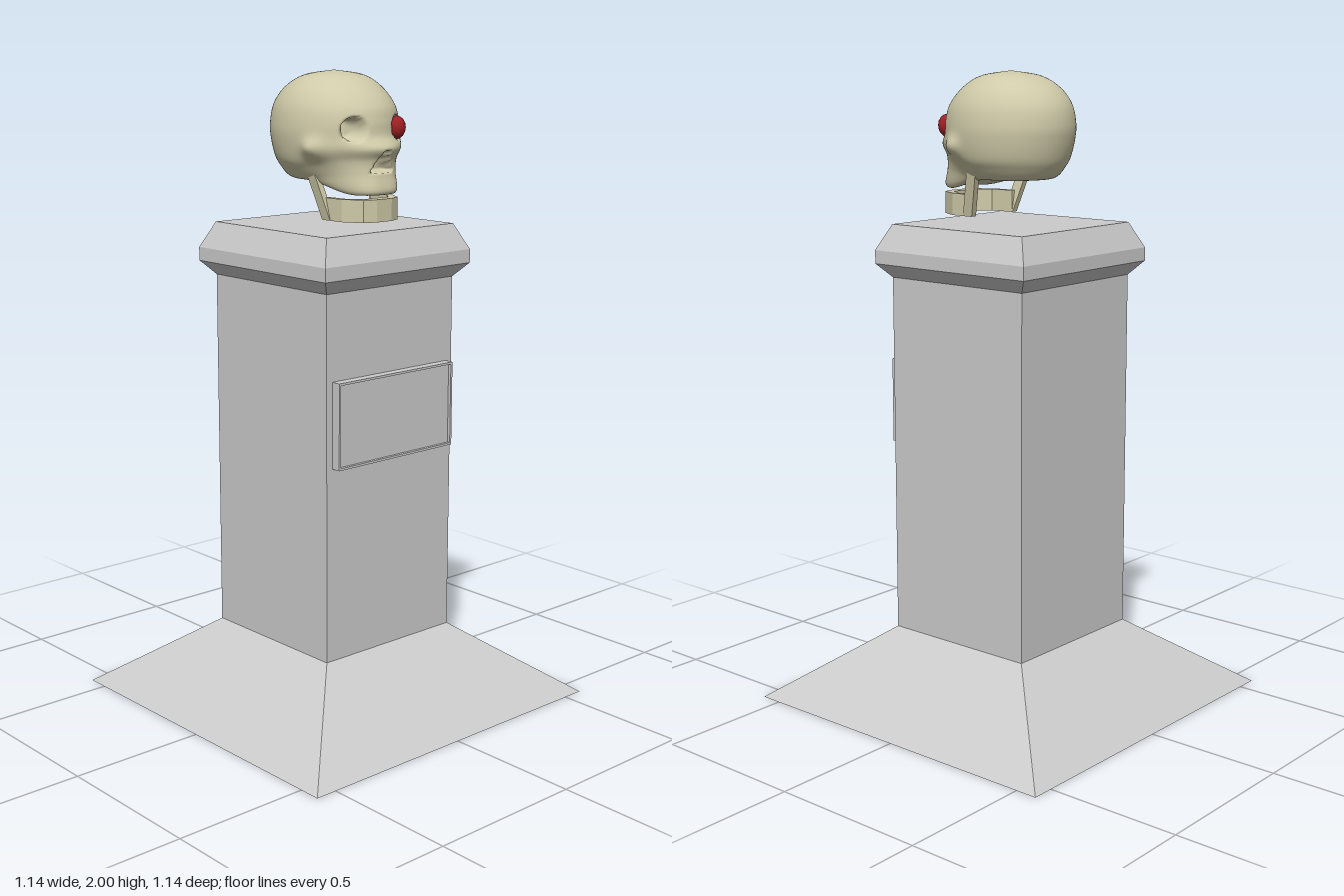
import * as THREE from 'three';

const stone = new THREE.MeshStandardMaterial({ color: 0xcccccc, flatShading: true });
const bone = new THREE.MeshStandardMaterial({ color: 0xcfcaa8 });
const boneFlat = new THREE.MeshStandardMaterial({ color: 0xcfcaa8, flatShading: true });
const red = new THREE.MeshStandardMaterial({ color: 0xa02024 });

function add(parent, name, geometry, material, x = 0, y = 0, z = 0) {
  const mesh = new THREE.Mesh(geometry, material);
  mesh.name = name;
  mesh.position.set(x, y, z);
  parent.add(mesh);
  return mesh;
}

// Square column turned from [half width, height] pairs
function squareLoft(profile) {
  const points = profile.map(([h, y]) => new THREE.Vector2(h * Math.SQRT2, y));
  return new THREE.LatheGeometry(points, 4).rotateY(Math.PI / 4);
}

// Skull rings from crown to palate: [yBack, yFront, width, zBack, zFront, roundness]
const RINGS = [
  [2.0, 2.0, 0, 0, 0, 1],
  [1.985, 1.985, 0.09, -0.09, 0.09, 1],
  [1.95, 1.95, 0.142, -0.155, 0.15, 1],
  [1.9, 1.9, 0.174, -0.195, 0.195, 1],
  [1.84, 1.855, 0.186, -0.208, 0.21, 1],
  [1.79, 1.81, 0.184, -0.203, 0.217, 1],
  [1.74, 1.775, 0.173, -0.19, 0.242, 1.1],
  [1.71, 1.74, 0.155, -0.175, 0.225, 1],
  [1.685, 1.7, 0.135, -0.155, 0.222, 0.8],
  [1.675, 1.645, 0.115, -0.13, 0.232, 0.65],
  [1.68, 1.645, 0.085, -0.09, 0.19, 0.7],
  [1.7, 1.7, 0, 0, 0, 1],
];

function skullGeometry(rows = 72, cols = 120) {
  const curve = (k) => new THREE.CatmullRomCurve3(
    RINGS.map((r) => new THREE.Vector3(r[k], r[k + 1], r[k + 2])), false, 'catmullrom', 0.5);
  const [heights, depths] = [curve(0), curve(3)];
  const { smoothstep, lerp } = THREE.MathUtils;
  const positions = [], index = [];
  for (let i = 0; i <= rows; i++) {
    const { x: yBack, y: yFront, z: width } = heights.getPoint(i / rows);
    const { x: zBack, y: zFront, z: roundness } = depths.getPoint(i / rows);
    for (let j = 0; j < cols; j++) {
      const a = (j / cols) * Math.PI * 2, c = Math.cos(a), s = Math.sin(a);
      let x = Math.sign(c) * width * Math.pow(Math.abs(c), s > 0 ? roundness : 1);
      let z = s > 0 ? zFront * s : -zBack * s;
      const y = lerp(yBack, yFront, smoothstep(z, 0, 0.19));
      // Cheekbones
      const cheek = Math.exp(-(((y - 1.775) / 0.03) ** 2) - ((z - 0.095) / 0.035) ** 2);
      x += Math.sign(c) * 0.024 * cheek * Math.min(1, Math.abs(x) / 0.1);
      if (z > 0.08 && i < rows * 0.8) {
        // Eye sockets
        const eye = Math.hypot((Math.abs(x) - 0.085) / 0.033, (y - 1.832) / 0.038);
        z -= 0.05 * (1 - smoothstep(eye, 0.6, 1.05));
        // Triangular nose opening
        const half = 0.042 * (1.775 - y) / 0.07;
        if (y > 1.705 && y < 1.77) z -= 0.045 * (1 - smoothstep(Math.abs(x), half * 0.75, half + 0.004));
      }
      positions.push(x, y, z);
      if (i < rows) {
        const n = (j + 1) % cols, p = i * cols, q = p + cols;
        index.push(p + j, p + n, q + n, p + j, q + n, q + j);
      }
    }
  }
  const g = new THREE.BufferGeometry();
  g.setAttribute('position', new THREE.Float32BufferAttribute(positions, 3));
  g.setIndex(index);
  g.computeVertexNormals();
  return g;
}

// Horseshoe jaw body, extruded upwards
function jawGeometry() {
  const s = new THREE.Shape();
  s.moveTo(0.108, -0.07);
  s.lineTo(0.104, -0.15);
  s.lineTo(0.07, -0.21);
  s.lineTo(0.03, -0.227);
  s.lineTo(-0.03, -0.227);
  s.lineTo(-0.07, -0.21);
  s.lineTo(-0.104, -0.15);
  s.lineTo(-0.108, -0.07);
  s.lineTo(-0.088, -0.07);
  s.lineTo(-0.083, -0.15);
  s.lineTo(-0.05, -0.19);
  s.lineTo(0.05, -0.19);
  s.lineTo(0.083, -0.15);
  s.lineTo(0.088, -0.07);
  return new THREE.ExtrudeGeometry(s, { depth: 0.068, bevelEnabled: false }).rotateX(-Math.PI / 2);
}

// Jaw branch leaning back and outwards
function ramusGeometry(side) {
  const g = new THREE.BoxGeometry(0.02, 0.14, 0.036);
  const p = g.attributes.position;
  for (let i = 0; i < p.count; i++) {
    const t = p.getY(i) / 0.14 + 0.5;
    p.setX(i, p.getX(i) + side * (0.098 + 0.028 * t));
    p.setZ(i, p.getZ(i) + 0.085 - 0.04 * t);
  }
  return g;
}

export function createModel() {
  const model = new THREE.Group();
  model.name = 'skullOnPedestal';

  // Pedestal
  add(model, 'pedestal', squareLoft([
    [0, 0], [0.57, 0], [0.26, 0.23], [0.26, 1.37],
  ]), stone);
  add(model, 'pedestalCap', squareLoft([
    [0, 1.37], [0.26, 1.37], [0.298, 1.413], [0.298, 1.455], [0.26, 1.535], [0, 1.535],
  ]), stone);

  // Plaque with a thin raised rim
  const plaque = new THREE.Group();
  plaque.name = 'plaque';
  plaque.position.set(0, 0.973, 0.26);
  model.add(plaque);
  const [w, h, rim] = [0.237, 0.133, 0.007];
  const rect = (C, a, b) => new C([[-a, -b], [a, -b], [a, b], [-a, b]].map((p) => new THREE.Vector2(...p)));
  const frame = rect(THREE.Shape, w, h);
  frame.holes.push(rect(THREE.Path, w - rim, h - rim));
  add(plaque, 'plaqueRim', new THREE.ExtrudeGeometry(frame, { depth: 0.03, bevelEnabled: false }), stone);
  add(plaque, 'plaquePanel', new THREE.BoxGeometry(2 * (w - rim), 2 * (h - rim), 0.02), stone, 0, 0, 0.01);

  // Skull, jaw and single red eye
  const skull = new THREE.Group();
  skull.name = 'skull';
  model.add(skull);
  add(skull, 'cranium', skullGeometry(), bone);
  add(skull, 'jaw', jawGeometry(), boneFlat, 0, 1.558, 0);
  for (const side of [-1, 1]) {
    add(skull, side > 0 ? 'leftJawBranch' : 'rightJawBranch', ramusGeometry(side), boneFlat, 0, 1.63, 0);
  }
  add(skull, 'redEye', new THREE.SphereGeometry(1, 12, 8), red, 0.085, 1.832, 0.187).scale.set(0.03, 0.035, 0.028);

  return model;
}
